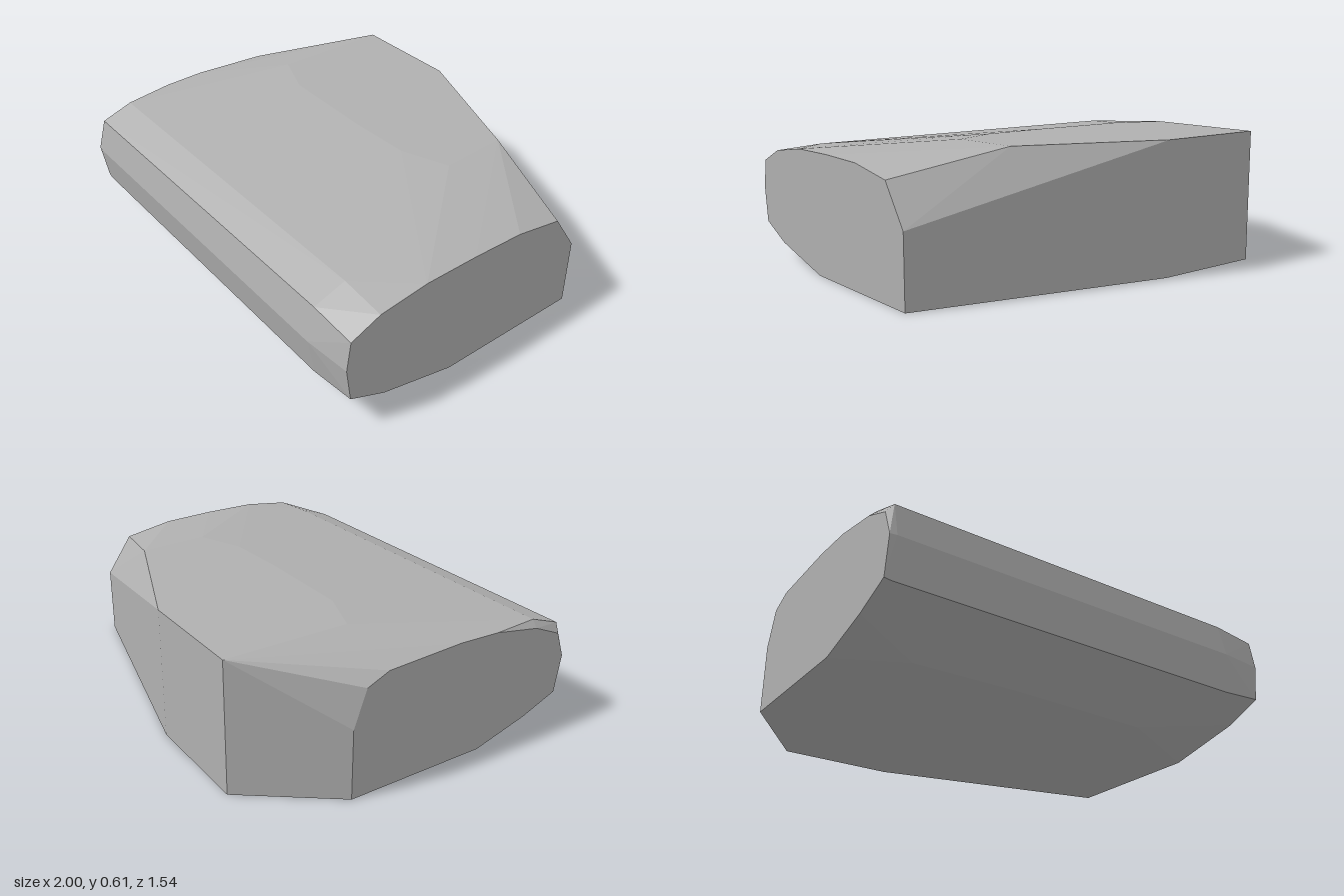
import * as THREE from 'three';
import { ConvexGeometry } from 'three/addons/geometries/ConvexGeometry.js';

// Cross-section points [z, y] placed at a given x
const section = (x, pts) => pts.map(([z, y]) => new THREE.Vector3(x, y, z));
// Plan points [x, z] placed at a given height
const level = (y, pts) => pts.map(([x, z]) => new THREE.Vector3(x, y, z));

export function createModel() {
  const group = new THREE.Group();
  group.name = 'facetedBlock';
  const stone = new THREE.MeshStandardMaterial({ color: 0xb0b0b0 });
  stone.name = 'stone grey';

  // Long rounded nose running along the front
  const nose = [[0.74, 0.14], [0.77, 0.32], [0.735, 0.478], [0.585, 0.53]];

  const points = [
    ...section(-0.97, nose),
    ...section(0.78, nose),
    // Left end face
    ...section(-1, [
      [-0.38, 0], [-0.38, 0.32], [-0.32, 0.485], [-0.215, 0.53], [0.15, 0.547],
      [0.35, 0.54], [0.58, 0.5], [0.72, 0.44], [0.765, 0.32], [0.738, 0.145],
      [0.56, 0.075], [0.29, 0],
    ]),
    // Right end face
    ...section(1, [
      [-0.51, 0], [-0.51, 0.32], [-0.385, 0.5], [-0.15, 0.54], [0.1, 0.547],
      [0.36, 0.545], [0.59, 0.515], [0.73, 0.455], [0.75, 0.32], [0.73, 0.16],
      [0.56, 0.085], [0.2, 0],
    ]),
    // Flat top
    ...level(0.605, [
      [-0.7, -0.775], [-0.16, -0.775], [0.5, -0.525], [0.52, -0.2],
      [0.3, -0.115], [0, -0.105], [-0.48, -0.115], [-0.7, -0.2],
    ]),
    // Flat base
    ...level(0, [[-0.7, -0.775], [-0.16, -0.775], [-0.7, 0.44], [-0.2, 0.455], [0.5, 0.44]]),
  ];

  const body = new THREE.Mesh(new ConvexGeometry(points), stone);
  body.name = 'stoneBody';
  group.add(body);
  return group;
}
